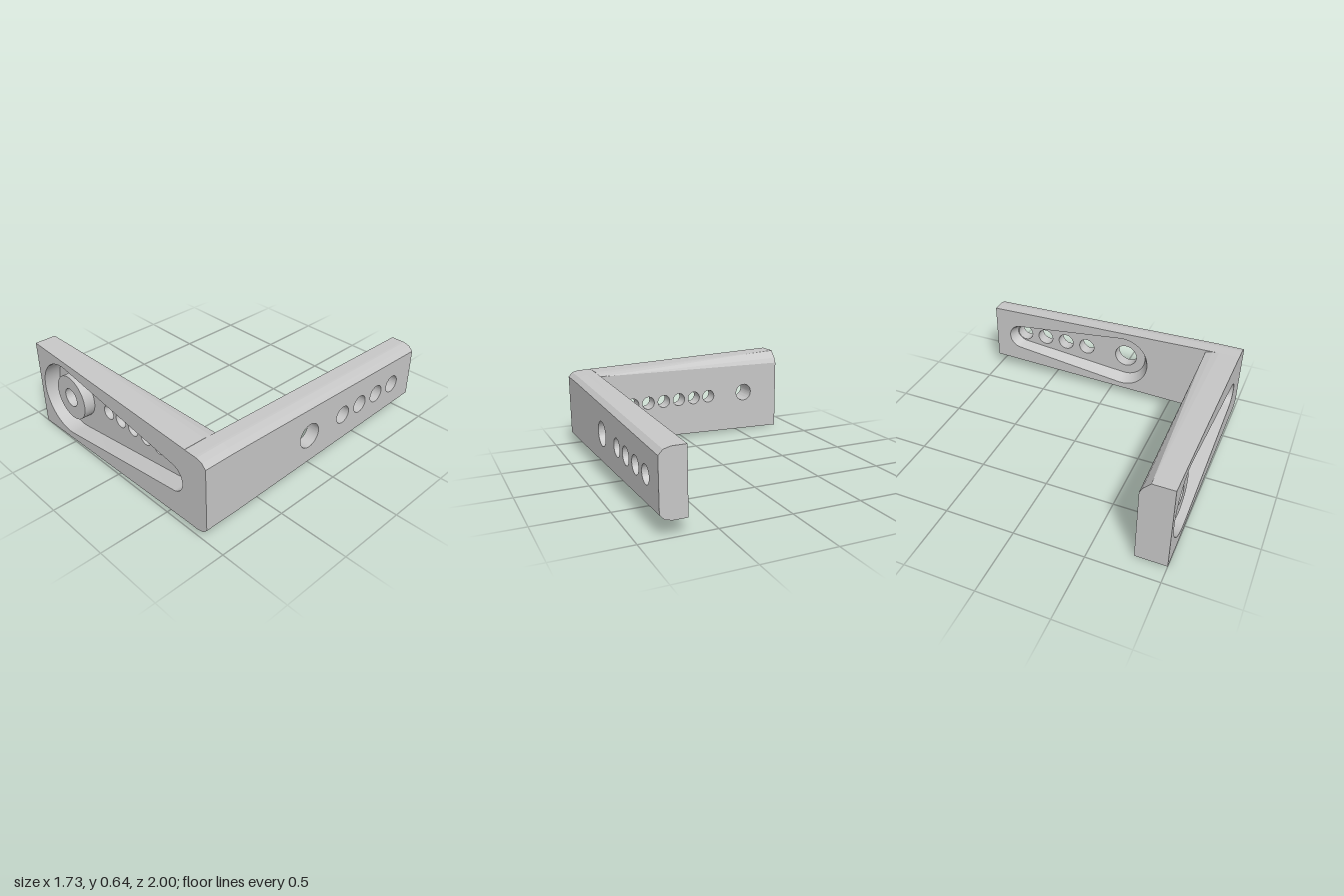
import * as THREE from 'three';
import { toCreasedNormals } from 'three/addons/utils/BufferGeometryUtils.js';
import { ConvexGeometry } from 'three/addons/geometries/ConvexGeometry.js';

const grey = new THREE.MeshStandardMaterial({ color: 0xc7c7c7 });
grey.name = 'light grey';

const circle = (x, y, r) => new THREE.Path().absarc(x, y, r, 0, Math.PI * 2);

// Teardrop outline: large arc at x1, small arc at x2, joined by tangents
function teardrop(x1, y, R, x2, r) {
  const a = Math.acos((R - r) / (x2 - x1));
  const path = new THREE.Path();
  path.absarc(x1, y, R, a, Math.PI * 2 - a);
  path.absarc(x2, y, r, -a, a);
  path.closePath();
  return path;
}

// Plate from an outline with holes, extruded along z
function plate(points, holes, z0, z1) {
  const shape = new THREE.Shape(points.map(([x, y]) => new THREE.Vector2(x, y)));
  shape.holes = holes;
  const g = new THREE.ExtrudeGeometry(shape, { depth: z1 - z0, bevelEnabled: false, curveSegments: 32 });
  return g.translate(0, 0, z0);
}

const hull = (points) => new ConvexGeometry(points.map((p) => new THREE.Vector3(...p)));

export function createModel() {
  const model = new THREE.Group();
  const add = (name, geometry, parent) => {
    const mesh = new THREE.Mesh(geometry, grey);
    mesh.name = name;
    parent.add(mesh);
  };

  // Front arm: tapers towards the corner
  const frontArm = new THREE.Group();
  frontArm.name = 'frontArm';
  model.add(frontArm);
  const L = -0.866, C = 0.69, floorZ = 0.88, midY = 0.323, bossX = -0.557;

  const face = plate([[L, 0], [C, 0.05], [C, 0.592], [L, 0.645]],
    [teardrop(bossX, midY, 0.263, 0.56, 0.1)], floorZ, 1);
  add('frontRecessedFace', toCreasedNormals(face, 0.5), frontArm);

  // Back web with holes; its rear face slants with x
  const holes = [circle(bossX, midY, 0.068)];
  for (let i = 0; i < 7; i++) holes.push(circle(-0.23 + i * 0.1317, midY, 0.05));
  const web = plate([[L, 0], [C, 0.05], [C, 0.575], [L, 0.55]], holes, 0, 1);
  const p = web.attributes.position;
  for (let i = 0; i < p.count; i++) {
    const rear = 0.78 - 0.03 * (p.getX(i) - L) / (C - L);
    p.setZ(i, rear + p.getZ(i) * (floorZ - rear));
  }
  web.computeVertexNormals();
  add('frontWeb', toCreasedNormals(web, 0.5), frontArm);

  // Faceted top rear edge, narrowing towards the corner
  add('frontTopBevel', hull([
    [L, 0.55, floorZ], [L, 0.645, floorZ], [L, 0.645, 0.85], [L, 0.59, 0.8], [L, 0.55, 0.78],
    [C, 0.575, floorZ], [C, 0.592, floorZ], [C, 0.592, 0.85], [C, 0.587, 0.8], [C, 0.575, 0.75],
  ]), frontArm);

  // Raised ring around the large hole
  const disc = new THREE.Shape().absarc(bossX, midY, 0.163, 0, Math.PI * 2);
  const boss = plate(disc.getPoints(32).slice(0, -1).map((v) => [v.x, v.y]),
    [circle(bossX, midY, 0.068)], floorZ, 0.96);
  add('boss', toCreasedNormals(boss, 0.5), frontArm);

  // Side arm: outlines are drawn with u = -z, then turned to run along z
  const sideArm = new THREE.Group();
  sideArm.name = 'sideArm';
  model.add(sideArm);
  const floorX = 0.775, outerX = 0.865, sideY = 0.32, bigU = -0.107;
  const outline = (inset) => [
    [-1, 0.05 + inset], [-0.8, 0.05 + inset], [1, 0.105 + inset],
    [1, 0.545 - inset], [-0.8, 0.59 - inset], [-1, 0.59 - inset],
  ];
  const inner = plate(outline(0), [teardrop(bigU, sideY, 0.205, 0.78, 0.1)], C, floorX);
  // Recess walls slope inwards to the floor
  const q = inner.attributes.position;
  for (let i = 0; i < q.count; i++) {
    const u = q.getX(i) - bigU, v = q.getY(i) - sideY;
    if (q.getZ(i) < floorX - 0.01 || Math.abs(q.getX(i)) > 0.95 || Math.abs(v) > 0.21) continue;
    q.setXY(i, bigU + u * (u < 0 ? 0.78 : 0.97), sideY + v * 0.78);
  }
  inner.computeVertexNormals();
  add('sideRecessedFace', toCreasedNormals(inner.rotateY(Math.PI / 2), 0.5), sideArm);

  const sideHoles = [circle(bigU, sideY, 0.088)];
  for (let i = 0; i < 4; i++) sideHoles.push(circle(0.23 + i * 0.1833, sideY, 0.063));
  const outer = plate(outline(0.045), sideHoles, floorX, outerX);
  add('sideWeb', toCreasedNormals(outer.rotateY(Math.PI / 2), 0.5), sideArm);

  // Faceted outer edges, top and bottom
  const profile = [[floorX, 0.045], [floorX, 0], [0.79, 0.001], [0.835, 0.013], [outerX, 0.045]];
  for (const [name, pick] of [['sideBottomBevel', [0, 1, 2]], ['sideTopBevel', [3, 4, 5]]]) {
    const points = [];
    for (const [x, inset] of profile) {
      const line = outline(inset);
      for (const k of pick) points.push([x, line[k][1], -line[k][0]]);
    }
    add(name, hull(points), sideArm);
  }
  return model;
}
